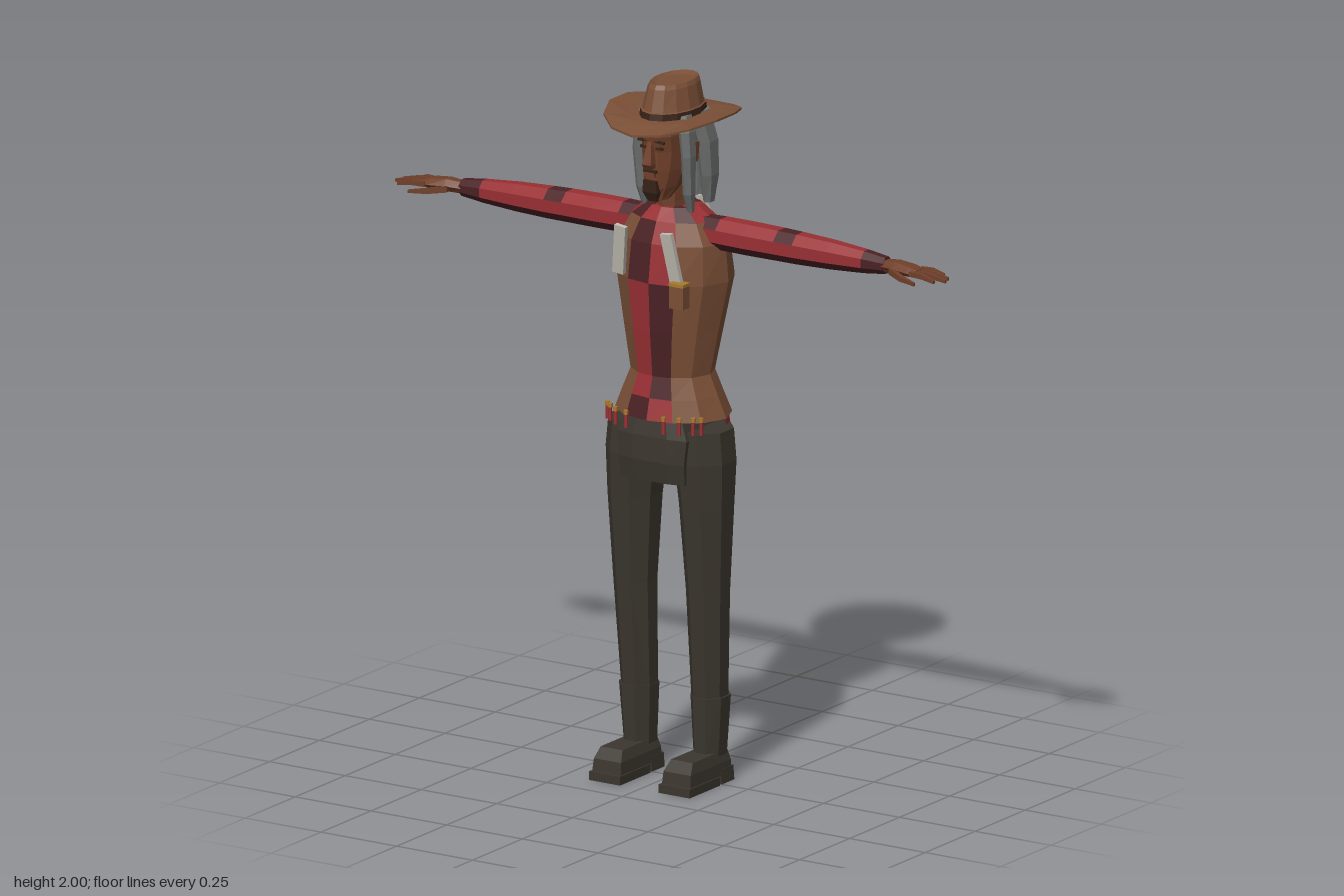
import * as THREE from 'three';

const mat = (name, color) => new THREE.MeshStandardMaterial({ name, color, flatShading: true, side: THREE.DoubleSide });

export function createModel() {
  const root = new THREE.Group();
  root.name = 'cowhand';
  const leather = mat('brown leather', 0x7a4f36), skin = mat('skin', 0x70402a), red = mat('red check', 0x982f33),
    wine = mat('dark check', 0x4a2124), cloth = mat('dark trousers', 0x3b362e), grey = mat('grey hair', 0x6e716f),
    bone = mat('off white', 0xbcb9ae), gold = mat('brass', 0xa87a30), dark = mat('dark brown', 0x382318);

  // Skin a stack of equal rings; pick(i, j) chooses the material of each face, or null for a gap
  function loft(name, rings, pick, { s = 1, caps = true } = {}) {
    const choose = typeof pick === 'function' ? pick : () => pick;
    const buckets = new Map();
    const tri = (m, ...pts) => {
      if (!m) return;
      if (!buckets.has(m)) buckets.set(m, []);
      if (s < 0) pts.reverse();
      for (const p of pts) buckets.get(m).push(p[0] * s, p[1], p[2]);
    };
    const n = rings[0].length, last = rings.length - 1;
    for (let i = 0; i < last; i++) for (let j = 0; j < n; j++) {
      const k = (j + 1) % n, m = choose(i, j);
      tri(m, rings[i][j], rings[i][k], rings[i + 1][k]);
      tri(m, rings[i][j], rings[i + 1][k], rings[i + 1][j]);
    }
    if (caps) for (const i of [0, last]) {
      const r = rings[i], c = [0, 1, 2].map(a => r.reduce((t, p) => t + p[a], 0) / n);
      for (let j = 0; j < n; j++) {
        const k = (j + 1) % n, m = choose(i ? last - 1 : 0, j);
        if (i) tri(m, c, r[j], r[k]); else tri(m, c, r[k], r[j]);
      }
    }
    const g = new THREE.Group();
    g.name = name;
    for (const [m, pos] of buckets) {
      const geo = new THREE.BufferGeometry();
      geo.setAttribute('position', new THREE.Float32BufferAttribute(pos, 3));
      geo.computeVertexNormals();
      const mesh = new THREE.Mesh(geo, m);
      mesh.name = `${name} ${m.name}`;
      g.add(mesh);
    }
    root.add(g);
    return g;
  }
  const even = n => Array.from({ length: n }, (_, j) => j * 360 / n);
  // Horizontal oval ring, angles measured from the front towards +x
  const oval = (y, cx, rx, zf, zb, angles) => angles.map(d => {
    const a = d * Math.PI / 180, c = Math.cos(a), mid = (zf + zb) / 2;
    return [cx + rx * Math.sin(a), y, mid + (zf - zb) / 2 * c];
  });
  const rect = (y, x0, x1, zf, zb) => [[x0, y, zf], [x1, y, zf], [x1, y, zb], [x0, y, zb]];
  // Upright ring across an arm
  const cuff = (x, cy, cz, ry, rz, n) => even(n).map(d => {
    const a = (d + 180 / n) * Math.PI / 180;
    return [x, cy + ry * Math.cos(a), cz + rz * Math.sin(a)];
  });
  function box(name, m, w, h, d, x, y, z, rx = 0, rz = 0) {
    const b = new THREE.Mesh(new THREE.BoxGeometry(w, h, d), m);
    b.name = name;
    b.position.set(x, y, z);
    b.rotation.set(rx, 0, rz);
    root.add(b);
  }

  // Vest with the checked shirt showing down the front
  const half = [0, 26, 55, 90, 125, 155], bodyAngles = [...half, ...half.map(a => a + 180).map((a, i) => i ? 360 - half[6 - i] : 180)];
  const body = [[1.05, .175, .13, -.14], [1.11, .15, .115, -.12], [1.17, .123, .1, -.105], [1.3, .147, .112, -.13],
    [1.44, .174, .12, -.155], [1.55, .168, .105, -.13], [1.61, .13, .08, -.1], [1.645, .08, .055, -.08]];
  loft('vest and shirt', body.map(([y, ...r]) => oval(y, 0, ...r, bodyAngles)), (i, j) => {
    if (i === 6) return j % 3 === 1 ? wine : red;
    if (j !== 0 && j !== 11) return leather;
    const swap = i === 0 || i >= 4;
    return (j === 0) === swap ? red : wine;
  });
  // Shirt tail under the vest, behind the hips
  loft('shirt tail', [[.985, .15, .06, -.14], [1.02, .152, .06, -.137], [1.055, .15, .06, -.132]].map(([y, ...r]) =>
    oval(y, 0, ...r, even(16))), (i, j) => j < 4 || j > 11 ? null : (i + j) % 2 ? red : wine, { caps: false });
  // Hips
  loft('hips', [[.87, .105, .108, -.13], [.93, .108, .118, -.145], [1.0, .115, .115, -.14], [1.07, .085, .1, -.1]].map(([y, x, f, b]) =>
    [[-x, y, f * .9], [-x * .5, y, f], [x * .5, y, f], [x, y, f * .9], [x, y, b * .85], [x * .5, y, b], [-x * .5, y, b], [-x, y, b * .85]]), cloth);

  for (const s of [1, -1]) {
    const side = s > 0 ? 'left' : 'right';
    // Leg and boot shaft
    loft(`${side} leg`, [[.25, .068, .164, .045, -.068], [.55, .062, .178, .067, -.06], [.8, .046, .19, .09, -.075],
      [.93, .03, .194, .1, -.088], [1.02, .03, .186, .096, -.085]].map(([y, a, b, f, k]) =>
      oval(y, (a + b) / 2, (b - a) / 2 * 1.06, f, k, even(8).map(d => d + 22.5))), cloth, { s });
    loft(`${side} boot shaft`, [[.08, .073, .157, .04, -.07], [.25, .066, .17, .05, -.076]].map(([y, a, b, f, k]) =>
      oval(y, (a + b) / 2, (b - a) / 2 * 1.06, f, k, even(8).map(d => d + 22.5))), cloth, { s });
    // Boot foot, sole and heel
    loft(`${side} boot`, [rect(.025, .068, .162, .155, -.05), rect(.06, .07, .16, .15, -.05), rect(.09, .08, .152, .128, -.045)], cloth, { s });
    loft(`${side} sole`, [rect(0, .064, .166, .165, .012), rect(.025, .064, .166, .165, .012)], cloth, { s });
    loft(`${side} heel`, [rect(0, .066, .164, 0, -.062), rect(.042, .068, .162, .004, -.06)], cloth, { s });

    // Checked sleeve
    loft(`${side} sleeve`, [[.1, 1.578, -.012, .047, .045], [.16, 1.578, -.014, .048, .047], [.25, 1.577, -.016, .048, .05],
      [.35, 1.576, -.017, .047, .048], [.41, 1.575, -.017, .046, .046], [.52, 1.574, -.017, .042, .04],
      [.63, 1.573, -.016, .034, .031], [.7, 1.573, -.014, .025, .024]].map(r => cuff(...r, 8)),
    (i, j) => [0, 3, 6].includes(i) ? (j === 1 && i < 6 ? red : wine) : j === 2 || j === 5 ? wine : red, { s });
    // Hand, fingers and thumb
    loft(`${side} hand`, [[.69, 1.573, -.012, .018, .02], [.74, 1.577, -.006, .02, .03], [.79, 1.575, -.004, .016, .036],
      [.815, 1.573, -.004, .011, .034]].map(r => cuff(...r, 6)), skin, { s });
    [[-.031, -.042, .87], [-.013, -.017, .9], [.006, .008, .908], [.023, .032, .885]].forEach(([z0, z1, tip], i) =>
      loft(`${side} finger ${i + 1}`, [[.8, 1.574, z0, .01, .01], [(tip + .8) / 2, 1.574, (z0 + z1) / 2, .01, .009],
        [tip, 1.565, z1, .006, .006]].map(r => cuff(...r, 4)), skin, { s }));
    loft(`${side} thumb`, [[.73, 1.57, .016, .013, .012], [.78, 1.562, .04, .011, .011], [.835, 1.556, .055, .006, .006]]
      .map(r => cuff(...r, 4)), skin, { s });

    // Chest strips and back collar tabs
    box(`${side} chest strip`, bone, .036, .145, .014, s * .085, 1.53, .133, .14, s * .14);
    box(`${side} collar tab`, bone, .026, .045, .012, s * .055, 1.637, -.07, .15, s * .3);

    // Cartridges along the vest hem
    [[.155, .09], [.137, .103], [.105, .125], [.062, .138]].forEach(([x, z], i) => {
      [[.0055, .04, 1.042, red, 'shell'], [.007, .012, 1.066, gold, 'brass']].forEach(([r, h, y, m, part]) => {
        const c = new THREE.Mesh(new THREE.CylinderGeometry(r, r, h, 6), m);
        c.name = `${side} cartridge ${i + 1} ${part}`;
        c.position.set(s * x, y, z);
        root.add(c);
      });
    });

    // Long hair framing the face, and the ear
    loft(`${side} front hair`, [[1.63, .074, .009, .03, .01], [1.69, .077, .016, .055, .012], [1.8, .08, .018, .068, .012],
      [1.87, .074, .02, .07, .008], [1.915, .06, .02, .06, .008]].map(([y, cx, rx, f, b]) => oval(y, cx, rx, f, b, even(6))), grey, { s });
    loft(`${side} back hair`, [[1.64, .066, .016, -.06, -.1], [1.72, .072, .022, -.04, -.115], [1.82, .07, .027, -.025, -.11],
      [1.91, .058, .024, -.005, -.09]].map(([y, cx, rx, f, b]) => oval(y, cx, rx, f, b, even(6))), grey, { s });
    box(`${side} ear`, skin, .014, .055, .026, s * .067, 1.8, -.008, -.15);
    // Eye and brow
    box(`${side} eye`, dark, .021, .007, .008, s * .026, 1.827, .103);
    box(`${side} brow`, dark, .03, .007, .008, s * .028, 1.847, .106, 0, s * -.12);
  }

  // Neck and head
  loft('neck', [[1.6, .046, .05, -.07], [1.66, .042, .05, -.066], [1.74, .045, .05, -.065]].map(([y, ...r]) => oval(y, 0, ...r, even(8))), skin);
  const faceAngles = [-20, 20, 50, 85, 120, 155, 205, 240, 275, 310];
  loft('head', [[1.675, .03, .1, .03], [1.71, .045, .112, -.03], [1.76, .058, .112, -.065], [1.815, .063, .11, -.08],
    [1.86, .065, .118, -.082], [1.915, .058, .1, -.075]].map(([y, ...r]) => oval(y, 0, ...r, faceAngles)), skin);
  loft('nose', [rect(1.77, -.014, .014, .122, .09), rect(1.783, -.015, .015, .131, .09), rect(1.845, -.006, .006, .114, .09)], skin);
  box('upper lip', skin, .034, .012, .014, 0, 1.752, .111);
  // Moustache and goatee
  box('moustache', dark, .042, .008, .009, 0, 1.761, .111);
  loft('goatee', [rect(1.672, -.014, .014, .1, .07), rect(1.7, -.024, .024, .114, .08), rect(1.735, -.02, .02, .115, .08)], dark);
  // Hair down the back
  loft('rear hair', [[1.65, .045, -.07, -.105], [1.72, .055, -.06, -.122], [1.82, .06, -.04, -.115], [1.915, .055, -.01, -.092]]
    .map(([y, ...r]) => oval(y, 0, ...r, even(8))), grey);

  // Hat: saddle-shaped brim, band, tapered crown with a sunken top
  const hatRing = ([rx, zf, zb, y, rise]) => oval(y, 0, rx, zf, zb, even(14)).map(p => [p[0], p[1] + rise * (p[0] / rx) ** 2, p[2]]);
  loft('hat', [[.06, .09, -.09, 1.897, 0], [.12, .145, -.145, 1.897, .006], [.183, .205, -.208, 1.881, .036],
    [.183, .205, -.208, 1.887, .036], [.12, .145, -.145, 1.904, .006], [.08, .115, -.124, 1.907, 0],
    [.077, .112, -.122, 1.925, 0], [.073, .105, -.116, 1.927, 0], [.06, .088, -.106, 1.988, 0],
    [.054, .08, -.1, 2, 0], [.042, .062, -.08, 1.993, 0]].map(hatRing), i => i === 5 ? dark : leather);

  // Chest pouch with a brass flap
  box('pouch', leather, .046, .064, .034, .112, 1.424, .135);
  box('pouch flap', gold, .048, .009, .036, .112, 1.46, .135);
  return root;
}
